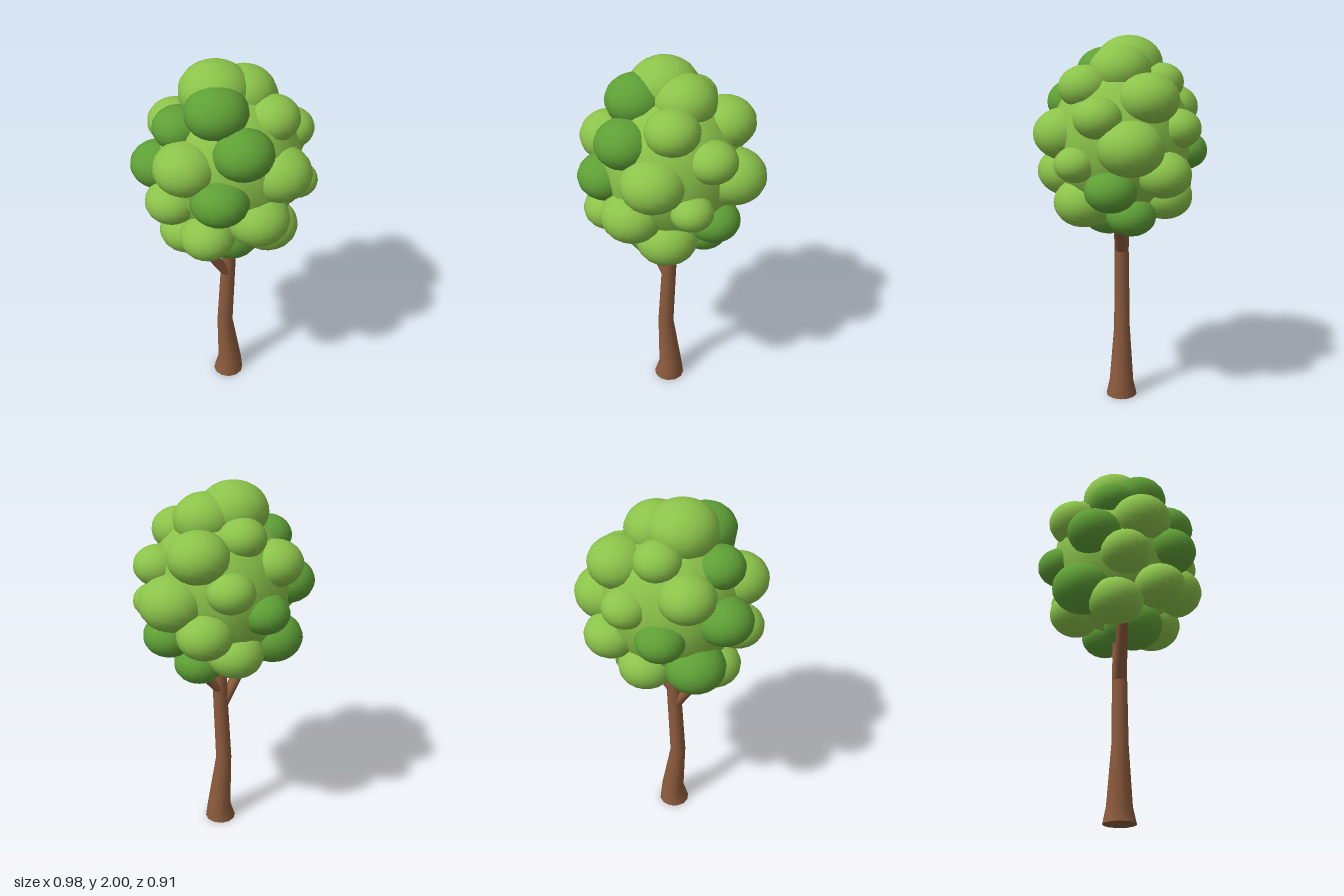
import * as THREE from 'three';
import { mergeVertices } from 'three/addons/utils/BufferGeometryUtils.js';

const material = (name, color) => {
  const m = new THREE.MeshStandardMaterial({ color });
  m.name = name;
  return m;
};

// Tapered round limb through rings of [x, y, z, radius]
function limbGeometry(rings, sides) {
  const geo = new THREE.CylinderGeometry(1, 1, 1, sides, rings.length - 1, true);
  const pos = geo.attributes.position;
  for (let i = 0; i < pos.count; i++) {
    const row = Math.round((pos.getY(i) + 0.5) * (rings.length - 1));
    const [x, y, z, r] = rings[row];
    pos.setXYZ(i, x + pos.getX(i) * r, y, z + pos.getZ(i) * r);
  }
  geo.deleteAttribute('uv');
  geo.deleteAttribute('normal');
  const merged = mergeVertices(geo);
  merged.computeVertexNormals();
  return merged;
}

export function createModel() {
  const tree = new THREE.Group();
  tree.name = 'tree';
  const bark = material('bark brown', 0x8b5a3c);
  const light = material('light leaf green', 0x8bc34a);
  const dark = material('dark leaf green', 0x5fa036);

  const add = (parent, name, geo, mat) => {
    const mesh = new THREE.Mesh(geo, mat);
    mesh.name = name;
    parent.add(mesh);
    return mesh;
  };

  // Trunk with a flared foot and a slight bend
  add(tree, 'trunk', limbGeometry([
    [-0.02, 0, 0, 0.086], [-0.01, 0.09, 0, 0.067], [-0.042, 0.4, 0, 0.044],
    [-0.018, 0.8, 0, 0.04], [-0.012, 1.2, 0, 0.033],
  ], 12), bark);
  const base = add(tree, 'trunkBase', new THREE.CircleGeometry(0.086, 12), bark);
  base.rotation.x = Math.PI / 2;
  base.position.x = -0.02;

  // Two branches reaching into the crown
  add(tree, 'rightBranch', limbGeometry([[-0.03, 0.75, 0, 0.036], [-0.235, 1.06, 0, 0.028]], 10), bark);
  add(tree, 'leftBranch', limbGeometry([[-0.01, 0.85, 0, 0.036], [0.18, 1.06, 0, 0.028]], 10), bark);

  // Crown: a core covered by slightly flattened leaf puffs
  const crown = new THREE.Group();
  crown.name = 'crown';
  tree.add(crown);
  const ball = new THREE.SphereGeometry(1, 18, 14);
  const puff = (name, mat, [x, y, z, r], squash) => {
    const mesh = add(crown, name, ball, mat);
    mesh.position.set(x, y, z);
    mesh.scale.set(r, r * squash, r);
  };
  puff('crownCore', light, [-0.01, 1.46, 0, 0.37], 1.1);

  // Puffs as [x, y, z, radius]
  const lightPuffs = [
    [-0.07, 1.85, -0.035, 0.18], [0.075, 1.82, 0, 0.162],
    [0.125, 1.74, 0.175, 0.137], [0.215, 1.69, -0.155, 0.157],
    [-0.005, 1.76, -0.205, 0.122], [-0.17, 1.62, -0.26, 0.143],
    [-0.32, 1.565, 0.09, 0.16], [0.3, 1.6, 0.09, 0.125],
    [0.32, 1.455, -0.075, 0.17], [0.09, 1.5, 0.288, 0.165],
    [0.125, 1.535, -0.3, 0.122], [-0.035, 1.285, 0.295, 0.161],
    [0.263, 1.365, 0.21, 0.11], [-0.355, 1.345, 0.005, 0.136],
    [0.235, 1.315, -0.235, 0.143], [-0.265, 1.2, 0.19, 0.138],
    [0.1, 1.14, 0.19, 0.16], [0.05, 1.17, -0.235, 0.147],
    [-0.245, 1.11, -0.04, 0.147],
  ];
  const darkPuffs = [
    [-0.145, 1.81, 0.095, 0.157], [-0.265, 1.7, -0.06, 0.13],
    [-0.1, 1.65, 0.255, 0.152], [-0.23, 1.43, 0.25, 0.147],
    [-0.33, 1.47, -0.16, 0.145], [-0.06, 1.4, -0.33, 0.126],
    [0.28, 1.235, 0.03, 0.136], [-0.2, 1.2, -0.215, 0.16],
    [0.16, 1.085, -0.065, 0.132], [-0.05, 1.07, 0.07, 0.16],
  ];
  lightPuffs.forEach((p, i) => puff('lightPuff' + (i + 1), light, p, 0.83));
  darkPuffs.forEach((p, i) => puff('darkPuff' + (i + 1), dark, p, 0.82));

  return tree;
}
